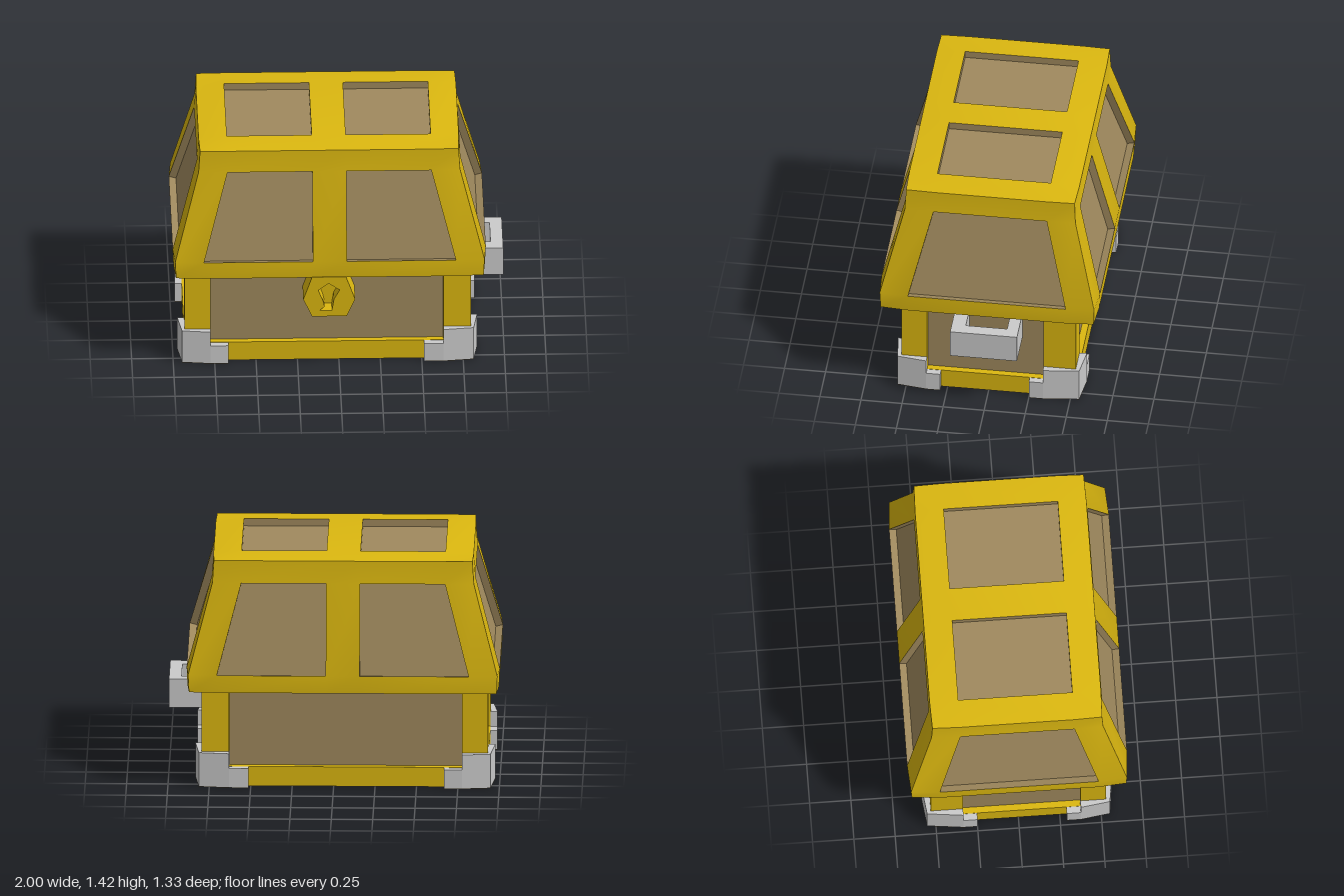
import * as THREE from 'three';
import { toCreasedNormals, mergeGeometries } from 'three/addons/utils/BufferGeometryUtils.js';

const gold = new THREE.MeshStandardMaterial({ color: 0xdcb810 });
const wood = new THREE.MeshStandardMaterial({ color: 0xa08a5e });
const metal = new THREE.MeshStandardMaterial({ color: 0xcccccc });

const V = (x, y, z) => new THREE.Vector3(x, y, z);

function add(group, name, geometry, material) {
  const mesh = new THREE.Mesh(geometry, material);
  mesh.name = name;
  group.add(mesh);
  return mesh;
}

// Box given by its minimum and maximum corners
function box(x0, x1, y0, y1, z0, z1) {
  return new THREE.BoxGeometry(x1 - x0, y1 - y0, z1 - z0)
    .translate((x0 + x1) / 2, (y0 + y1) / 2, (z0 + z1) / 2);
}

// Upright prism over a plan outline of [x, z] points
function prism(outline, y0, y1) {
  const shape = new THREE.Shape(outline.map(([x, z]) => new THREE.Vector2(x, -z)));
  return new THREE.ExtrudeGeometry(shape, { depth: y1 - y0, bevelEnabled: false })
    .rotateX(-Math.PI / 2).translate(0, y0, 0);
}

function quad(list, a, b, c, d) {
  for (const p of [a, b, c, a, c, d]) list.push(p.x, p.y, p.z);
}

function fromList(list) {
  const g = new THREE.BufferGeometry();
  g.setAttribute('position', new THREE.Float32BufferAttribute(list, 3));
  return toCreasedNormals(g, 0.55);
}

// Lid section rings: height, half width, half depth, window edge x, window edge z, corner pull-in
const RINGS = [
  [0.62, 0.94, 0.66, 0.76, 0.48, 0.012],
  [0.73, 0.945, 0.665, 0.76, 0.48, 0.012],
  [1.27, 0.795, 0.525, 0.615, 0.345, 0.006],
  [1.41, 0.785, 0.518, 0.615, 0.345, 0.005],
];
const BAR = 0.1025;
const INSET = 0.045;

function buildLid() {
  const lid = new THREE.Group();
  lid.name = 'lid';
  const frame = [], panels = [];

  // Rows run upward and columns rightward seen from outside; window cells are recessed
  function face(rows, isWindow) {
    for (let r = 0; r < rows.length - 1; r++) {
      for (let c = 0; c < rows[r].length - 1; c++) {
        const q = [rows[r][c], rows[r][c + 1], rows[r + 1][c + 1], rows[r + 1][c]];
        if (!isWindow(r, c)) { quad(frame, ...q); continue; }
        const n = q[1].clone().sub(q[0]).cross(q[3].clone().sub(q[0])).normalize();
        const deep = q.map((p) => p.clone().addScaledVector(n, -INSET));
        quad(panels, ...deep);
        for (let i = 0; i < 4; i++) {
          const j = (i + 1) % 4;
          quad(panels, q[i], q[j], deep[j], deep[i]);
        }
      }
    }
  }
  const twoWindows = (r, c) => r === 1 && (c === 1 || c === 3);

  for (const s of [1, -1]) {
    // Front and back
    face(RINGS.map(([y, hx, hz, wx, , b]) =>
      [-hx + b, -wx, -BAR, BAR, wx, hx - b].map((x, i) =>
        V(s * x, y, s * (i % 5 ? hz : hz - b)))), twoWindows);
    // Left and right ends
    face(RINGS.map(([y, hx, hz, , wz, b]) =>
      [hz - b, wz, -wz, -hz + b].map((z, i) =>
        V(s * (i % 3 ? hx : hx - b), y, s * z))), (r, c) => r === 1 && c === 1);
  }

  // Slightly domed top
  const [y, hx, hz, wx, wz, b] = RINGS[3];
  const xs = [-hx, -wx, -BAR, BAR, wx, hx];
  const zs = [hz, wz, -wz, -hz];
  face(zs.map((z, r) => xs.map((x, c) => {
    const endX = c % 5 === 0, endZ = r % 3 === 0;
    const k = endX && endZ ? 1 - b / hx : 1;
    const kz = endX && endZ ? 1 - b / hz : 1;
    return V(x * k, endX || endZ ? y : y + 0.015, z * kz);
  })), twoWindows);

  add(lid, 'lidFrame', fromList(frame), gold);
  add(lid, 'lidPanels', fromList(panels), wood);

  // Underside of the rim
  const [y0, ax, az, ux, uz, cb] = RINGS[0];
  const corner = [[ax, uz], [ax - cb, az - cb], [ux, az]];
  const m = (sx, sz) => corner.map(([x, z]) => [sx * x, sz * z]);
  const outline = [...m(1, 1), ...m(-1, 1).reverse(), ...m(-1, -1), ...m(1, -1).reverse()];
  add(lid, 'lidUnderside', prism(outline, y0, y0 + 0.02), gold);
  lid.position.x = -0.057;
  return lid;
}

function buildBody() {
  const body = new THREE.Group();
  body.name = 'body';
  const X = 0.863, Z = 0.53, R = 0.04, LOW = 0.003;

  // Recessed wooden walls
  add(body, 'woodenWalls', box(-X + R, X - R, LOW, 0.63, -Z + R, Z - R), wood);

  // Bottom rails
  for (const s of [1, -1]) {
    add(body, 'longRail', box(-X, X, LOW, 0.122, -0.03, 0.03).translate(0, 0, s * (Z - 0.03)), gold);
    add(body, 'shortRail', box(-0.03, 0.03, LOW, 0.122, -Z, Z).translate(s * (X - 0.03), 0, 0), gold);
  }

  const plates = [prism([[-X, -Z], [X, -Z], [X, Z], [-X, Z]], 0, LOW)];
  for (const sx of [1, -1]) {
    for (const sz of [1, -1]) {
      const flip = (pts) => pts.map(([x, z]) => [sx * x, sz * z]);
      const px = 0.7025 - 0.005 * sx, pz = 0.355 + 0.02 * sz;
      const fx = 0.59 - 0.01 * sx, fz = 0.27 + 0.02 * sz;

      // Corner post
      add(body, 'cornerPost', prism(flip([[px, pz], [X, pz], [X, Z], [px, Z]]), LOW, 0.63), gold);

      // Stepped metal foot with a blunt corner
      const low = flip([[fx, fz], [0.905, fz], [0.905, pz], [0.88, 0.553], [px, 0.575], [fx, 0.575]]);
      const high = flip([[px, pz], [0.905, pz], [0.88, 0.553], [px, 0.575]]);
      const foot = mergeGeometries([prism(low, LOW, 0.12), prism(high, 0.12, 0.213)]);
      add(body, 'cornerFoot', foot, metal);
      plates.push(prism(low, 0, LOW));
    }
  }
  // Wooden underside
  add(body, 'underside', mergeGeometries(plates), wood);
  body.position.x = -0.067;
  return body;
}

function buildClasp() {
  const clasp = new THREE.Group();
  clasp.name = 'clasp';
  const toShape = (pts) => new THREE.Shape(pts.map(([x, y]) => new THREE.Vector2(x, y)));
  const outline = [[-0.165, 0.625], [-0.218, 0.475], [-0.165, 0.36], [0.045, 0.36], [0.095, 0.475], [0.04, 0.625]];
  const keyhole = [[-0.065, 0.582], [-0.128, 0.535], [-0.1, 0.47], [-0.09, 0.425],
    [-0.12, 0.4], [-0.045, 0.4], [-0.033, 0.475], [0.002, 0.537]];
  const front = toShape(outline);
  front.holes.push(toShape(keyhole));
  const slab = (shape, z0, z1) =>
    new THREE.ExtrudeGeometry(shape, { depth: z1 - z0, bevelEnabled: false }).translate(0, 0, z0);
  add(clasp, 'claspFace', slab(front, 0.57, 0.667), gold);
  add(clasp, 'claspBack', slab(toShape(outline), 0.48, 0.57), gold);
  return clasp;
}

export function createModel() {
  const chest = new THREE.Group();
  chest.name = 'chest';
  chest.add(buildBody(), buildLid(), buildClasp());

  // U-shaped handle on the left end
  add(chest, 'handle', prism([[0.74, 0.207], [1, 0.207], [1, -0.2], [0.74, -0.2],
    [0.74, -0.13], [0.925, -0.13], [0.925, 0.122], [0.74, 0.122]], 0.393, 0.573), metal);
  return chest;
}
